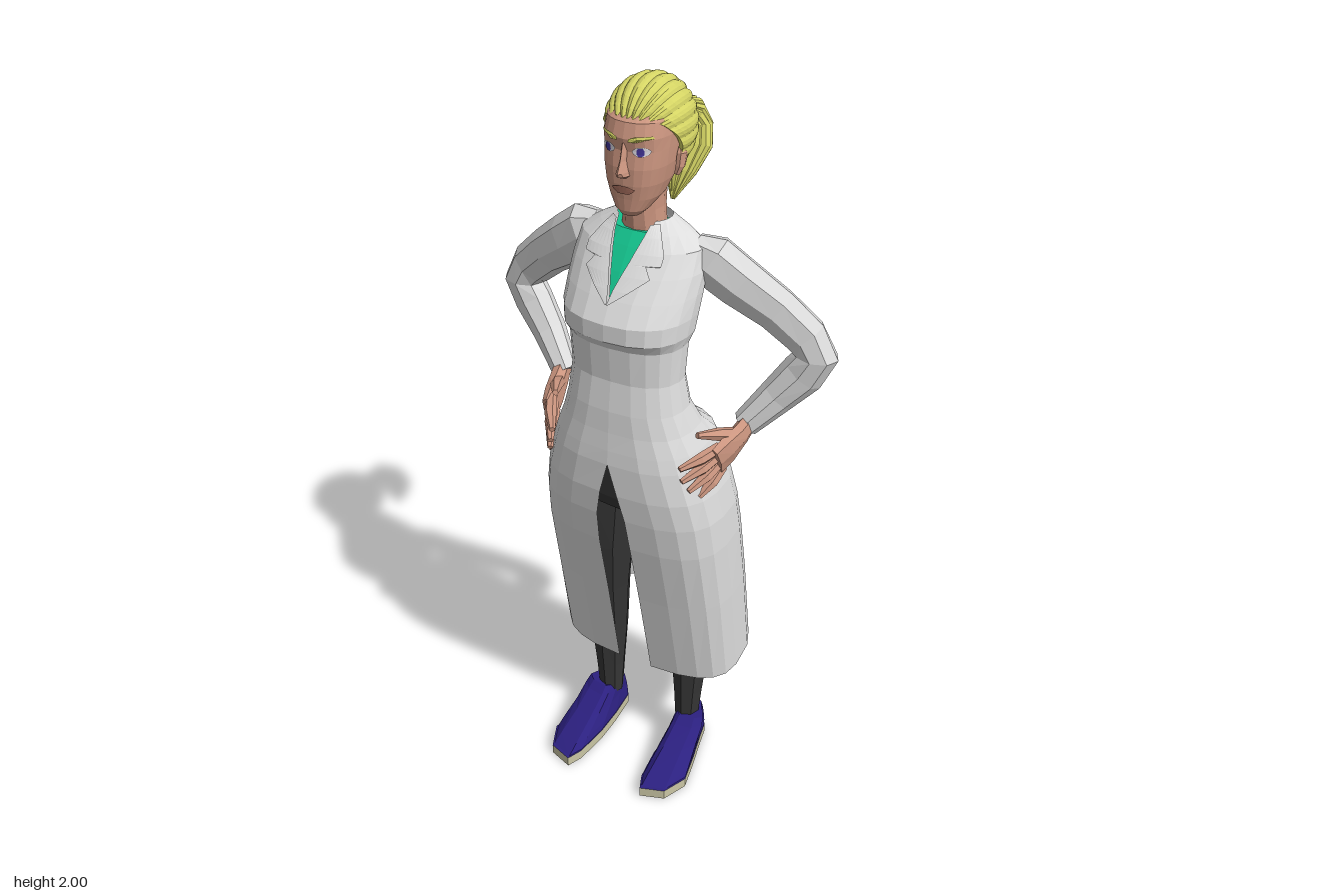
import * as THREE from 'three';

const mat = (name, color, side = THREE.FrontSide) => {
  const m = new THREE.MeshStandardMaterial({ color, flatShading: true, side });
  m.name = name;
  return m;
};

// Skin a list of rings; caps close the ends with a fan
function loft(rings, closed = true, caps = true) {
  const n = rings[0].length, pos = rings.flat(2), idx = [];
  for (let i = 0; i < rings.length - 1; i++)
    for (let j = 0; j < (closed ? n : n - 1); j++) {
      const a = i * n + j, b = i * n + (j + 1) % n;
      idx.push(a, b, b + n, a, b + n, a + n);
    }
  if (closed && caps) [0, rings.length - 1].forEach((r, top) => {
    const c = pos.length / 3;
    pos.push(...[0, 1, 2].map(k => rings[r].reduce((s, p) => s + p[k], 0) / n));
    for (let j = 0; j < n; j++) {
      const a = r * n + j, b = r * n + (j + 1) % n;
      idx.push(...(top ? [a, b, c] : [b, a, c]));
    }
  });
  const g = new THREE.BufferGeometry();
  g.setAttribute('position', new THREE.Float32BufferAttribute(pos, 3));
  g.setIndex(idx);
  g.computeVertexNormals();
  return g;
}

const spow = (v, p) => Math.sign(v) * Math.abs(v) ** p;

// Body row: [y, half width, front z, back z, widest z, squareness, front gap]; the back is rounder
function bodyRing([y, w, zf, zb, zc, p, gap = 0], n, open = false, tilt = 0) {
  const a0 = Math.asin(Math.min(1, gap / w) ** (1 / p));
  return Array.from({ length: open ? n + 1 : n }, (_, j) => {
    const a = a0 + (j / n) * (2 * Math.PI - 2 * a0), c = Math.cos(a);
    const q = c > 0 ? p : Math.min(1, p + 0.14);
    const z = zc + (c > 0 ? zf - zc : zc - zb) * spow(c, q);
    return [w * spow(Math.sin(a), q), y - tilt * (z - zf), z];
  });
}

// Front depth of a body described by rows
function frontZ(rows, x, y) {
  let i = 0;
  while (i < rows.length - 2 && rows[i + 1][0] < y) i++;
  const a = rows[i], b = rows[i + 1], t = (y - a[0]) / (b[0] - a[0]);
  const [, w, zf, , zc, p] = a.map((v, k) => v + (b[k] - v) * t);
  const s = Math.min(1, Math.abs(x) / w) ** (1 / p);
  return zc + (zf - zc) * Math.sqrt(1 - s * s) ** p;
}

// Thin sheet laid on a body; strips are [y, x from, x to]
const patch = (strips, rows, lift, cols = 6) => loft(strips.map(([y, x0, x1]) =>
  Array.from({ length: cols + 1 }, (_, j) => {
    const x = x0 + (x1 - x0) * j / cols;
    return [x, y, frontZ(rows, x, y) + lift];
  })), false);

// Limb through stations [x, y, z, radius along ref, other radius]
function limb(stations, ref, sides, ridge = 0) {
  const P = stations.map(s => new THREE.Vector3(s[0], s[1], s[2]));
  return loft(stations.map((s, i) => {
    const t = P[Math.min(i + 1, P.length - 1)].clone().sub(P[Math.max(i - 1, 0)]).normalize();
    const n1 = ref.clone().addScaledVector(t, -ref.dot(t)).normalize();
    const n2 = t.clone().cross(n1);
    return Array.from({ length: sides }, (_, j) => {
      const a = j / sides * 2 * Math.PI, k = 1 - ridge * (j % 4 === 0 ? 1 : 0);
      return P[i].clone().addScaledVector(n1, s[3] * k * Math.cos(a))
        .addScaledVector(n2, (s[4] ?? s[3]) * k * Math.sin(a)).toArray();
    });
  }));
}

function mirrored(geo) {
  const g = geo.index ? geo.toNonIndexed() : geo.clone();
  const p = g.attributes.position;
  for (let i = 0; i < p.count; i += 3) {
    const v = [0, 2, 1].map(k => [-p.getX(i + k), p.getY(i + k), p.getZ(i + k)]);
    v.forEach((q, k) => p.setXYZ(i + k, ...q));
  }
  g.computeVertexNormals();
  return g;
}

export function createModel() {
  const root = new THREE.Group();
  const coatM = mat('coat white', 0xdddddd, THREE.DoubleSide), skin = mat('skin', 0xcc9680);
  const hairM = mat('blonde', 0xd4d464, THREE.DoubleSide), shirtM = mat('green', 0x14c48e);
  const trouserM = mat('charcoal', 0x363636), shoeM = mat('navy', 0x2c2080);
  const soleM = mat('cream', 0xcac6a4), eyeM = mat('eye white', 0xe4e2ea);
  const irisM = mat('violet', 0x43359a), lipM = mat('lip', 0xa8705f);
  const add = (name, geo, m) => {
    const mesh = new THREE.Mesh(geo, m);
    mesh.name = name;
    root.add(mesh);
  };
  const pair = (name, geo, m) => {
    add('left ' + name, geo, m);
    add('right ' + name, mirrored(geo), m);
  };
  const X = new THREE.Vector3(1, 0, 0), Z = new THREE.Vector3(0, 0, 1);

  // Long coat, slit below the waist and open in a V at the neck
  const coat = [
    [0.31, 0.266, 0.07, -0.24, -0.07, 0.65, 0.05], [0.6, 0.264, 0.13, -0.192, -0.03, 0.65, 0.047],
    [0.8, 0.259, 0.175, -0.158, 0, 0.65, 0.045], [0.9, 0.252, 0.193, -0.14, 0.01, 0.66, 0.04],
    [0.98, 0.238, 0.203, -0.125, 0.02, 0.68, 0.024], [1.07, 0.213, 0.205, -0.112, 0.03, 0.7, 0],
    [1.11, 0.2, 0.202, -0.1, 0.04, 0.72, 0], [1.16, 0.178, 0.197, -0.035, 0.06, 0.75, 0],
    [1.22, 0.158, 0.193, -0.005, 0.08, 0.78, 0], [1.3, 0.146, 0.182, 0.005, 0.085, 0.8, 0],
    [1.395, 0.152, 0.188, -0.002, 0.08, 0.82, 0], [1.425, 0.163, 0.212, -0.008, 0.07, 0.82, 0],
    [1.47, 0.168, 0.212, -0.018, 0.06, 0.84, 0], [1.52, 0.17, 0.18, -0.03, 0.04, 0.86, 0],
    [1.57, 0.17, 0.145, -0.042, 0.02, 0.9, 0.016], [1.62, 0.162, 0.106, -0.052, 0, 0.9, 0.032],
    [1.65, 0.115, 0.08, -0.05, 0, 0.9, 0.042], [1.675, 0.068, 0.062, -0.044, 0.005, 0.95, 0.048]];
  add('coat', loft(coat.map((r, i) => bodyRing(r, 22, true, [0.16, 0.08, 0.03][i] ?? 0)), false), coatM);
  pair('lapel', patch([[1.515, 0, 0.004], [1.545, 0.006, 0.045], [1.575, 0.016, 0.085],
    [1.598, 0.024, 0.068], [1.6, 0.025, 0.1], [1.62, 0.031, 0.1], [1.65, 0.04, 0.08],
    [1.673, 0.045, 0.062]], coat, 0.013), coatM);
  const shirt = coat.filter(r => r[0] > 1.42 && r[0] < 1.66)
    .map(([y, w, f, b, c, p]) => [y, w - 0.018, f - 0.014, b + 0.014, c, p]);
  add('shirt', loft(shirt.map(r => bodyRing(r, 22))), shirtM);

  // Trousers
  add('trouser seat', loft([[0.88, 0.15, 0.13, -0.08, 0.02, 0.8], [0.93, 0.19, 0.155, -0.09, 0.02, 0.8],
    [1.04, 0.175, 0.165, -0.085, 0.03, 0.8], [1.12, 0.15, 0.155, -0.04, 0.05, 0.8]]
    .map(r => bodyRing(r, 16))), trouserM);
  pair('trouser leg', limb([[0.126, 0.09, -0.012, 0.034, 0.036], [0.128, 0.2, -0.014, 0.042, 0.044],
    [0.13, 0.34, -0.015, 0.055, 0.054], [0.13, 0.52, 0, 0.07, 0.07], [0.125, 0.7, 0.015, 0.088, 0.09],
    [0.105, 0.9, 0.025, 0.094, 0.1]], X, 8), trouserM);

  // Shoes, with the toes slanting back towards the outside
  const foot = [[-0.022, -0.075], [-0.04, -0.055], [-0.046, 0.03], [-0.046, 0.12], [-0.034, 0.215],
    [-0.016, 0.258], [0.05, 0.235], [0.08, 0.165], [0.062, 0.08], [0.042, 0], [0.03, -0.055], [0.012, -0.075]];
  const sole = new THREE.ExtrudeGeometry(new THREE.Shape(foot.map(p => new THREE.Vector2(p[0], -p[1]))),
    { depth: 0.03, bevelEnabled: false }).rotateX(-Math.PI / 2).translate(0.134, 0, 0);
  pair('sole', sole, [shoeM, soleM]);
  // Each shoe row: height, width scale, heel z, toe z
  const shoe = [[0.028, 0.97, -0.073, 0.254], [0.045, 0.92, -0.074, 0.21], [0.075, 0.8, -0.07, 0.125],
    [0.105, 0.74, -0.06, 0.055], [0.122, 0.66, -0.054, 0.03]];
  pair('shoe', loft(shoe.map(([y, w, z0, z1]) => foot.map(([x, z]) =>
    [0.134 + x * w, y, z0 + (z + 0.075) / 0.333 * (z1 - z0)]))), shoeM);

  // Sleeves bent at the elbow
  pair('sleeve', limb([[0.12, 1.605, -0.005, 0.035, 0.04], [0.165, 1.58, -0.012, 0.052, 0.072],
    [0.23, 1.53, -0.03, 0.05, 0.07], [0.315, 1.465, -0.062, 0.045, 0.062],
    [0.385, 1.4, -0.084, 0.044, 0.058], [0.415, 1.35, -0.09, 0.046, 0.056],
    [0.385, 1.295, -0.085, 0.045, 0.055], [0.33, 1.225, -0.068, 0.042, 0.047],
    [0.262, 1.14, -0.032, 0.034, 0.036]], Z, 8), coatM);

  // Hands resting on the hips
  pair('palm', limb([[0.272, 1.15, -0.035, 0.022, 0.028], [0.264, 1.128, 0, 0.023, 0.036],
    [0.252, 1.105, 0.045, 0.021, 0.05], [0.242, 1.088, 0.085, 0.015, 0.05]], X, 7), skin);
  [[1.123, 1.095, 0.168, 0.182], [1.1, 1.06, 0.168, 0.188], [1.076, 1.025, 0.152, 0.2],
    [1.054, 0.995, 0.122, 0.214]].forEach(([y0, y1, z1, x1], i) => {
    const z0 = 0.072 - i * 0.007;
    pair('finger ' + (i + 1), limb([[0.242, y0, z0, 0.015], [(0.25 + x1) / 2, (y0 + y1) / 2, (z0 + z1) / 2, 0.016],
      [x1, y1, z1, 0.008]], X, 6), skin);
  });
  pair('thumb', limb([[0.26, 1.13, 0.01, 0.02], [0.234, 1.152, 0.06, 0.017],
    [0.202, 1.17, 0.115, 0.008]], X, 6), skin);

  // Neck and head
  add('neck', loft([[1.62, 0.06, 0.06, -0.042, 0.01, 1], [1.66, 0.053, 0.064, -0.04, 0.01, 1],
    [1.7, 0.05, 0.068, -0.042, 0.01, 1], [1.77, 0.052, 0.07, -0.05, 0.01, 1]].map(r => bodyRing(r, 12))), skin);
  const head = [[1.7, 0.024, 0.096, 0.05, 0.07, 0.85], [1.715, 0.04, 0.106, 0.025, 0.06, 0.85],
    [1.745, 0.061, 0.108, -0.03, 0.035, 0.83], [1.78, 0.073, 0.112, -0.06, 0.02, 0.8],
    [1.82, 0.08, 0.112, -0.085, 0.015, 0.8], [1.86, 0.083, 0.106, -0.1, 0.01, 0.8],
    [1.89, 0.085, 0.111, -0.1, 0, 0.82], [1.925, 0.082, 0.1, -0.095, 0, 0.88],
    [1.96, 0.06, 0.05, -0.07, -0.01, 0.95], [1.98, 0.03, 0.018, -0.045, -0.015, 1]];
  add('head', loft(head.map(r => bodyRing(r, 24))), skin);
  add('nose', loft([[1.797, 0.016, 0.114], [1.806, 0.019, 0.133], [1.815, 0.015, 0.137],
    [1.84, 0.009, 0.124], [1.88, 0.008, 0.112]].map(([y, w, z]) =>
    [[-w * 1.3, y, 0.095], [-w * 0.5, y, z - 0.006], [0, y, z], [w * 0.5, y, z - 0.006], [w * 1.3, y, 0.095]])), skin);
  pair('ear', limb([[0.082, 1.785, 0.008, 0.006, 0.01], [0.088, 1.805, 0.002, 0.01, 0.018],
    [0.09, 1.835, -0.004, 0.01, 0.022], [0.086, 1.85, -0.006, 0.004, 0.012]], X, 6), skin);
  add('lips', patch([[1.76, -0.014, 0.014], [1.768, -0.026, 0.026], [1.773, -0.03, 0.03],
    [1.78, -0.012, 0.012]], head, 0.004), lipM);
  pair('eye', patch([[1.852, 0.034, 0.046], [1.857, 0.025, 0.057], [1.864, 0.021, 0.061],
    [1.87, 0.027, 0.057], [1.874, 0.034, 0.048]], head, 0.003), eyeM);
  pair('iris', patch([[1.853, 0.037, 0.044], [1.858, 0.033, 0.049], [1.867, 0.033, 0.049],
    [1.873, 0.036, 0.046]], head, 0.005), irisM);
  pair('eyebrow', patch([[1.886, 0.014, 0.032], [1.893, 0.015, 0.066], [1.899, 0.03, 0.062]], head, 0.004), hairM);

  // Combed-back hair: ridged strands run from the hairline to the tie
  const N = 88, rings = 12;
  add('hair', loft(Array.from({ length: rings + 1 }, (_, i) => Array.from({ length: N }, (_, j) => {
    const a = j / N * 2 * Math.PI, up = -Math.sin(a);
    const end = 109 + (up > 0 ? 48 : 24) * up;
    const phi = THREE.MathUtils.degToRad(end + (10 - end) * Math.max(0, i - 1) / (rings - 1));
    const k = (i === 0 ? 0.88 : 1) * (0.965 + 0.04 * Math.abs(Math.sin(11 * a)));
    return [0.105 * k * Math.sin(phi) * Math.cos(a), 1.877 + 0.123 * k * Math.sin(phi) * up,
      -0.016 - (phi < Math.PI / 2 ? 0.13 : 0.12) * k * Math.cos(phi)];
  })), true, false), hairM);
  add('hair tie', new THREE.CylinderGeometry(0.028, 0.032, 0.03, 12).rotateX(Math.PI / 2)
    .translate(0, 1.868, -0.148), hairM);
  add('ponytail', limb([[0, 1.866, -0.148, 0.022, 0.02], [0, 1.868, -0.178, 0.03, 0.026],
    [0, 1.853, -0.206, 0.04, 0.035], [0, 1.82, -0.218, 0.056, 0.041], [0, 1.77, -0.2, 0.066, 0.042],
    [0, 1.71, -0.165, 0.042, 0.032], [0, 1.65, -0.128, 0.005, 0.005]], X, 40, 0.12), hairM);

  return root;
}
